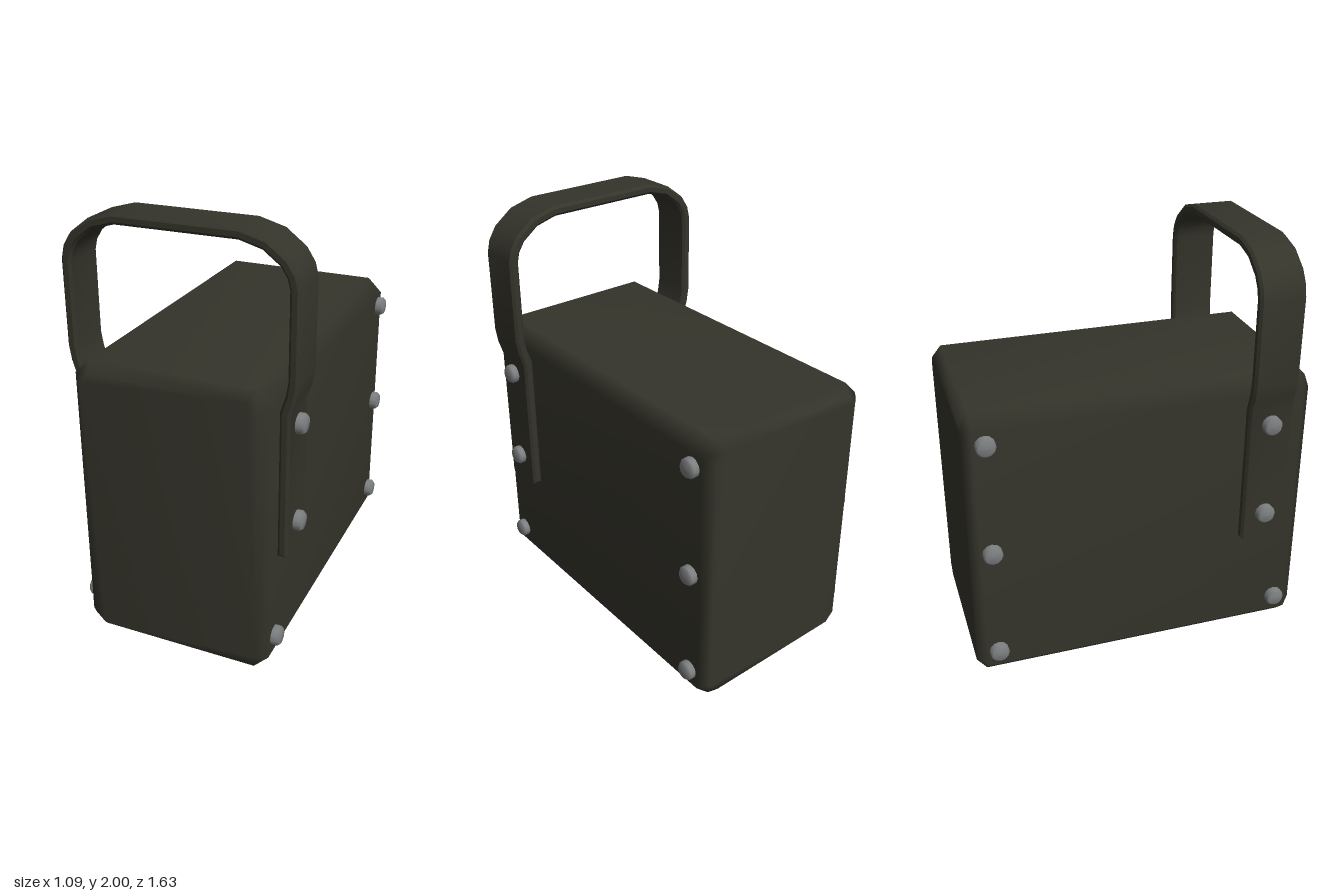
import * as THREE from 'three';
import { mergeVertices, toCreasedNormals } from 'three/addons/utils/BufferGeometryUtils.js';

const mat = (name, color) => {
  const m = new THREE.MeshStandardMaterial({ color });
  m.name = name;
  return m;
};

// Extrude a closed outline along z between z0 and z1, with a chamfer kept inside the outline.
function chamferedSolid(points, z0, z1, chamfer) {
  const geo = new THREE.ExtrudeGeometry(new THREE.Shape(points), {
    depth: z1 - z0 - 2 * chamfer, bevelEnabled: true, bevelSegments: 1,
    bevelSize: chamfer, bevelThickness: chamfer, bevelOffset: -chamfer,
  });
  geo.translate(0, 0, z0 + chamfer);
  return geo;
}

// Shared vertices give soft shading across the chamfers.
function soften(geo) {
  geo.deleteAttribute('normal');
  geo.deleteAttribute('uv');
  const smooth = mergeVertices(geo, 1e-4);
  smooth.computeVertexNormals();
  return smooth;
}

export function createModel() {
  const model = new THREE.Group();
  model.name = 'handledBox';
  const darkOlive = mat('dark olive paint', 0x35342b);
  const steel = mat('grey steel', 0x7c7f80);
  const add = (name, geo, material) => {
    const mesh = new THREE.Mesh(geo, material);
    mesh.name = name;
    model.add(mesh);
    return mesh;
  };

  // Body: box with cut corners
  const w = 0.453, h = 1.38, c = 0.07;
  const outline = [
    [-w + c, 0], [w - c, 0], [w, c], [w, h - c],
    [w - c, h], [-w + c, h], [-w, h - c], [-w, c],
  ].map(([x, y]) => new THREE.Vector2(x, y));
  add('body', soften(chamferedSolid(outline, -0.813, 0.813, 0.045)), darkOlive);

  // Handle: bent strap, outer edge of the +x half from foot to top
  const half = [
    [0.503, 0.565], [0.503, 1.25], [0.525, 1.32], [0.536, 1.39], [0.536, 1.78],
    [0.522, 1.84], [0.484, 1.9], [0.395, 1.968], [0.28, 2],
  ].map(([x, y]) => new THREE.Vector2(x, y));
  const outer = [...half, ...half.slice().reverse().map(p => new THREE.Vector2(-p.x, p.y))];
  const thickness = 0.047;
  const inner = outer.map((p, i) => {
    const a = outer[Math.max(i - 1, 0)], b = outer[Math.min(i + 1, outer.length - 1)];
    const d0 = (i ? p.clone().sub(a) : b.clone().sub(p)).normalize();
    const d1 = (i < outer.length - 1 ? b.clone().sub(p) : p.clone().sub(a)).normalize();
    const t = d0.clone().add(d1).normalize();
    const s = thickness / t.dot(d0);
    return new THREE.Vector2(p.x - t.y * s, p.y + t.x * s);
  });
  const strap = chamferedSolid([...outer, ...inner.reverse()], 0.478, 0.693, 0.012);
  add('handle', toCreasedNormals(strap, 0.55), darkOlive);

  // Bolts: domed heads mirrored on both sides, [surface x, y, z]
  const head = new THREE.LatheGeometry(
    [[0.046, -0.01], [0.046, 0.026], [0.036, 0.038], [0, 0.041]]
      .map(([r, y]) => new THREE.Vector2(r, y)), 12);
  const bolts = [
    [0.502, 1.175, 0.588], [0.502, 0.705, 0.588], [0.452, 0.153, 0.703],
    [0.452, 1.253, -0.715], [0.452, 0.705, -0.715], [0.452, 0.153, -0.715],
  ];
  for (const side of [1, -1]) {
    for (const [x, y, z] of bolts) {
      const bolt = add(side > 0 ? 'leftBolt' : 'rightBolt', head, steel);
      bolt.position.set(side * x, y, z);
      bolt.rotation.z = -side * Math.PI / 2;
    }
  }
  return model;
}
